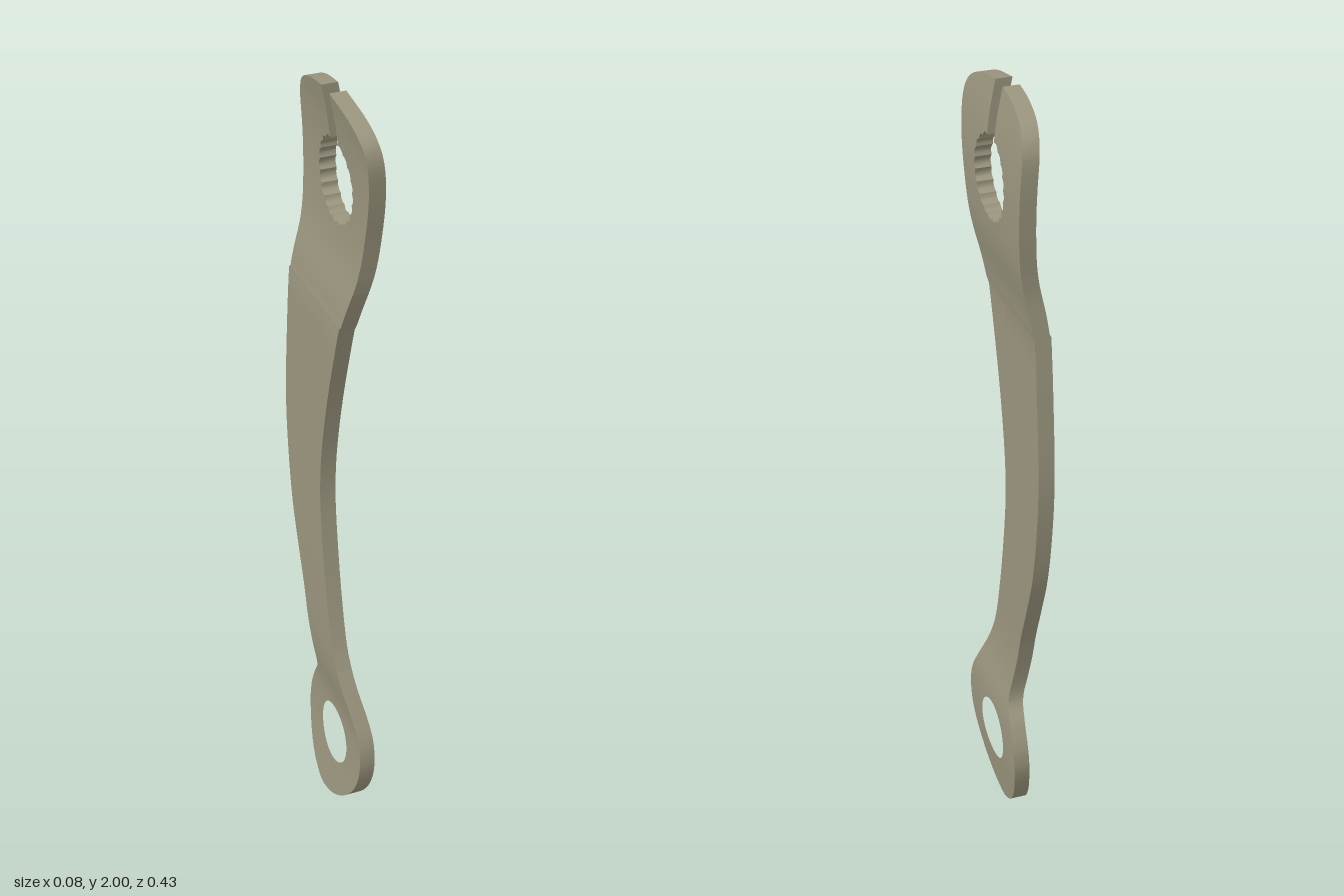
import * as THREE from 'three';
import { toCreasedNormals } from 'three/addons/utils/BufferGeometryUtils.js';

const THICKNESS = 0.04;
const v2 = ([x, y]) => new THREE.Vector2(x, y);

// Outer edge, from the right of the clamp slot round the foot to the left of the slot
const EDGE = [
  [0.006, 2], [0.072, 1.99], [0.14, 1.963], [0.178, 1.915], [0.188, 1.845], [0.183, 1.71], [0.174, 1.58],
  [0.183, 1.475], [0.2, 1.315], [0.215, 1.1], [0.205, 0.945], [0.178, 0.795], [0.136, 0.673], [0.093, 0.557],
  [0.058, 0.415], [0.058, 0.35], [0.093, 0.297], [0.12, 0.239], [0.126, 0.175], [0.104, 0.1], [0.067, 0.042],
  [0.02, 0.008], [-0.018, 0], [-0.077, 0.016], [-0.14, 0.058], [-0.193, 0.122], [-0.217, 0.196], [-0.211, 0.27],
  [-0.173, 0.35], [-0.1, 0.493], [-0.056, 0.652], [-0.024, 0.838], [-0.016, 0.955], [-0.029, 1.077],
  [-0.066, 1.236], [-0.119, 1.41], [-0.167, 1.56], [-0.193, 1.702], [-0.214, 1.82], [-0.219, 1.9],
  [-0.198, 1.948], [-0.14, 1.98], [-0.042, 2],
];

// Sideways offset of the plate's inner face at each height
const BEND = [
  [0, -0.032], [0.08, -0.023], [0.17, -0.015], [0.27, -0.013], [0.33, -0.018], [0.41, -0.032], [0.49, -0.039],
  [0.56, -0.04], [1.38, -0.04], [1.45, -0.037], [1.52, -0.028], [1.6, -0.012], [1.67, -0.004], [1.76, -0.001],
  [1.84, -0.003], [1.92, -0.011], [2, -0.026],
];

function plateShape() {
  const points = new THREE.SplineCurve(EDGE.map(v2)).getPoints(168);
  // Serrated clamp bore, entered and left through the slot
  const start = Math.PI * 0.576, end = Math.PI * 2.42, lobes = 19, steps = lobes * 5;
  for (let i = 0; i <= steps; i++) {
    const a = start + (end - start) * i / steps;
    const r = 0.097 + 0.006 * Math.abs(Math.sin(Math.PI * i / 5));
    points.push(new THREE.Vector2(-0.018 + r * Math.cos(a), 1.776 + r * Math.sin(a)));
  }
  const shape = new THREE.Shape(points);
  // Round pivot hole in the foot
  shape.holes.push(new THREE.Path().absarc(-0.045, 0.196, 0.082, 0, Math.PI * 2, true));
  return shape;
}

// Keep the part of a polygon above (side 1) or below (side -1) a height
function clip(poly, height, side) {
  const out = [];
  poly.forEach((p, i) => {
    const q = poly[(i + 1) % poly.length];
    const dp = side * (p.y - height), dq = side * (q.y - height);
    if (dp >= 0) out.push(p);
    if (dp * dq < 0) out.push(p.clone().lerp(q, dp / (dp - dq)));
  });
  return out;
}

// Cut a geometry into horizontal bands so that it can bend smoothly
function slice(geometry, heights) {
  const source = geometry.index ? geometry.toNonIndexed() : geometry;
  const pos = source.attributes.position;
  const out = [];
  for (let i = 0; i < pos.count; i += 3) {
    const tri = [0, 1, 2].map(k => new THREE.Vector3().fromBufferAttribute(pos, i + k));
    const low = Math.min(...tri.map(p => p.y)), high = Math.max(...tri.map(p => p.y));
    for (let b = 0; b <= heights.length; b++) {
      const from = b === 0 ? -1 : heights[b - 1];
      const to = b === heights.length ? 3 : heights[b];
      if (high < from || low > to) continue;
      const poly = clip(clip(tri, from, 1), to, -1);
      for (let k = 1; k < poly.length - 1; k++) {
        const face = new THREE.Triangle(poly[0], poly[k], poly[k + 1]);
        if (face.getArea() < 1e-9) continue;
        for (const p of [face.a, face.b, face.c]) out.push(p.x, p.y, p.z);
      }
    }
  }
  const result = new THREE.BufferGeometry();
  result.setAttribute('position', new THREE.Float32BufferAttribute(out, 3));
  return result;
}

export function createModel() {
  const group = new THREE.Group();
  group.name = 'leverArm';
  const metal = new THREE.MeshStandardMaterial({ color: 0x9a957e });
  metal.name = 'dull khaki metal';

  const bend = new THREE.SplineCurve(BEND.map(v2)).getPoints(64);
  const offset = y => {
    let i = 1;
    while (i < bend.length - 1 && bend[i].x < y) i++;
    const a = bend[i - 1], b = bend[i];
    return a.y + (b.y - a.y) * (y - a.x) / (b.x - a.x);
  };

  // Flat plate, turned to face sideways
  const flat = new THREE.ExtrudeGeometry(plateShape(), { depth: THICKNESS, bevelEnabled: false, curveSegments: 48 });
  flat.rotateY(Math.PI / 2);

  // Bend the two ends outward
  let plate = slice(flat, bend.slice(1, -1).map(p => p.x));
  const pos = plate.attributes.position;
  for (let i = 0; i < pos.count; i++) pos.setX(i, pos.getX(i) + offset(pos.getY(i)));

  // Enlarged while smoothing so that fine edges stay distinct
  plate.scale(20, 20, 20);
  plate = toCreasedNormals(plate, 0.5);
  plate.scale(0.05, 0.05, 0.05);

  const mesh = new THREE.Mesh(plate, metal);
  mesh.name = 'bentArmPlate';
  group.add(mesh);
  return group;
}
